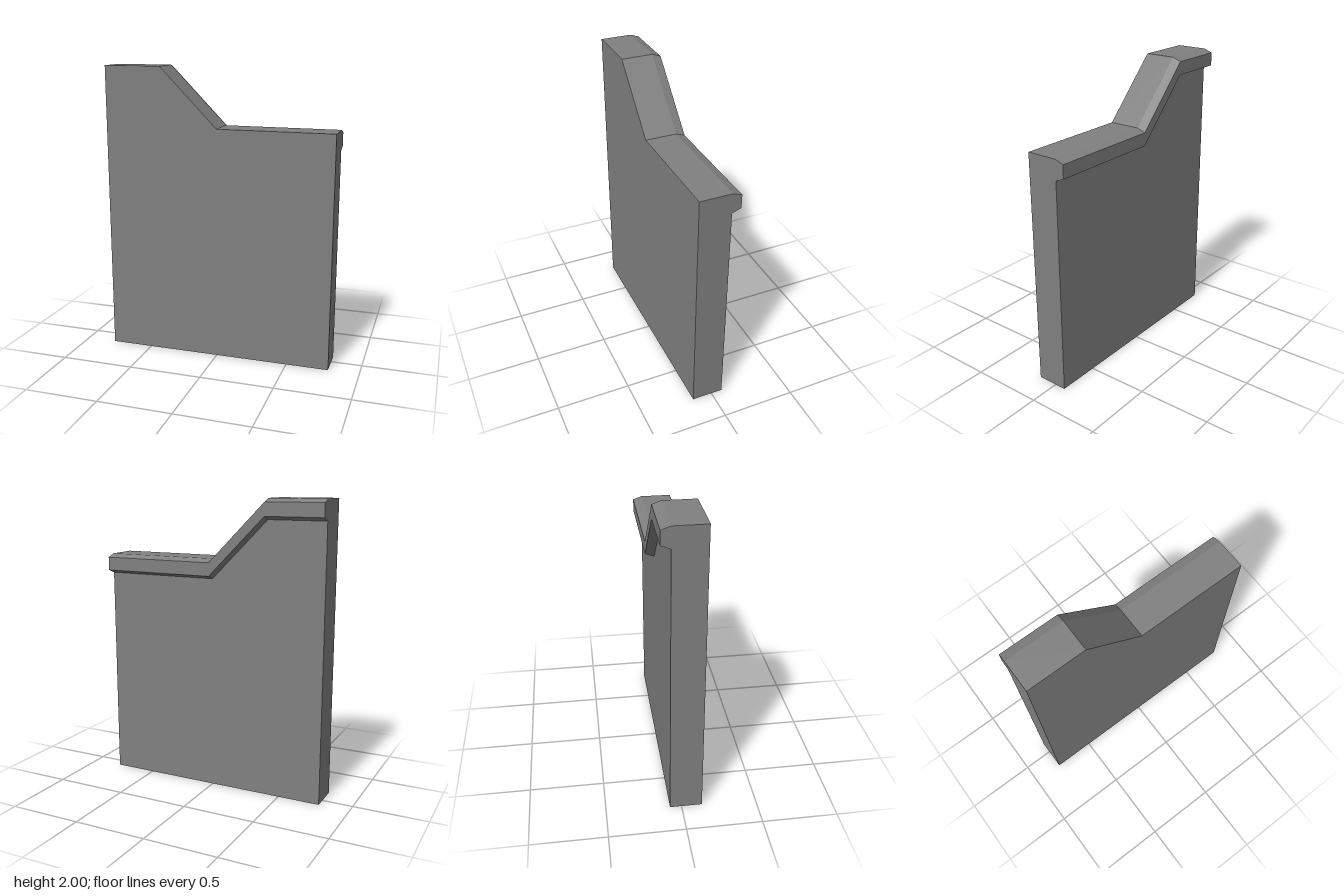
import * as THREE from 'three';

const BACK = -0.077, FRONT = 0.137, TRIM_BACK = -0.137;

// Stepped top line, from the model's right to its left: [x, y]
const TOP_LINE = [[-0.79, 2], [-0.395, 2], [0, 1.6], [0.79, 1.6]];

// Slab with the stepped outline
function buildWall() {
  const outline = [[-0.79, 0], [0.79, 0], ...[...TOP_LINE].reverse()];
  const shape = new THREE.Shape(outline.map(([x, y]) => new THREE.Vector2(x, y)));
  const geometry = new THREE.ExtrudeGeometry(shape, { depth: FRONT - BACK, bevelEnabled: false });
  return geometry.translate(0, 0, BACK);
}

// Bevelled ledge on the back, following the top line; its section stays upright
function buildTrim() {
  const section = [[BACK, 0], [BACK, -0.135], [TRIM_BACK, -0.112], [TRIM_BACK, -0.022]];
  const shape = new THREE.Shape(section.map(([z, dy]) => new THREE.Vector2(-z, dy)));
  const spans = TOP_LINE.length - 1;
  const geometry = new THREE.ExtrudeGeometry(shape, { depth: spans, steps: spans, bevelEnabled: false });
  const pos = geometry.attributes.position;
  for (let i = 0; i < pos.count; i++) {
    const [x, y] = TOP_LINE[Math.round(pos.getZ(i))];
    pos.setXYZ(i, x, y + pos.getY(i), -pos.getX(i));
  }
  geometry.computeVertexNormals();
  return geometry;
}

export function createModel() {
  const stone = new THREE.MeshStandardMaterial({ color: 0x808080 });
  stone.name = 'grey stone';

  const model = new THREE.Group();
  model.name = 'steppedWall';
  const parts = { wallPanel: buildWall(), topTrim: buildTrim() };
  for (const [name, geometry] of Object.entries(parts)) {
    const mesh = new THREE.Mesh(geometry, stone);
    mesh.name = name;
    model.add(mesh);
  }
  return model;
}
